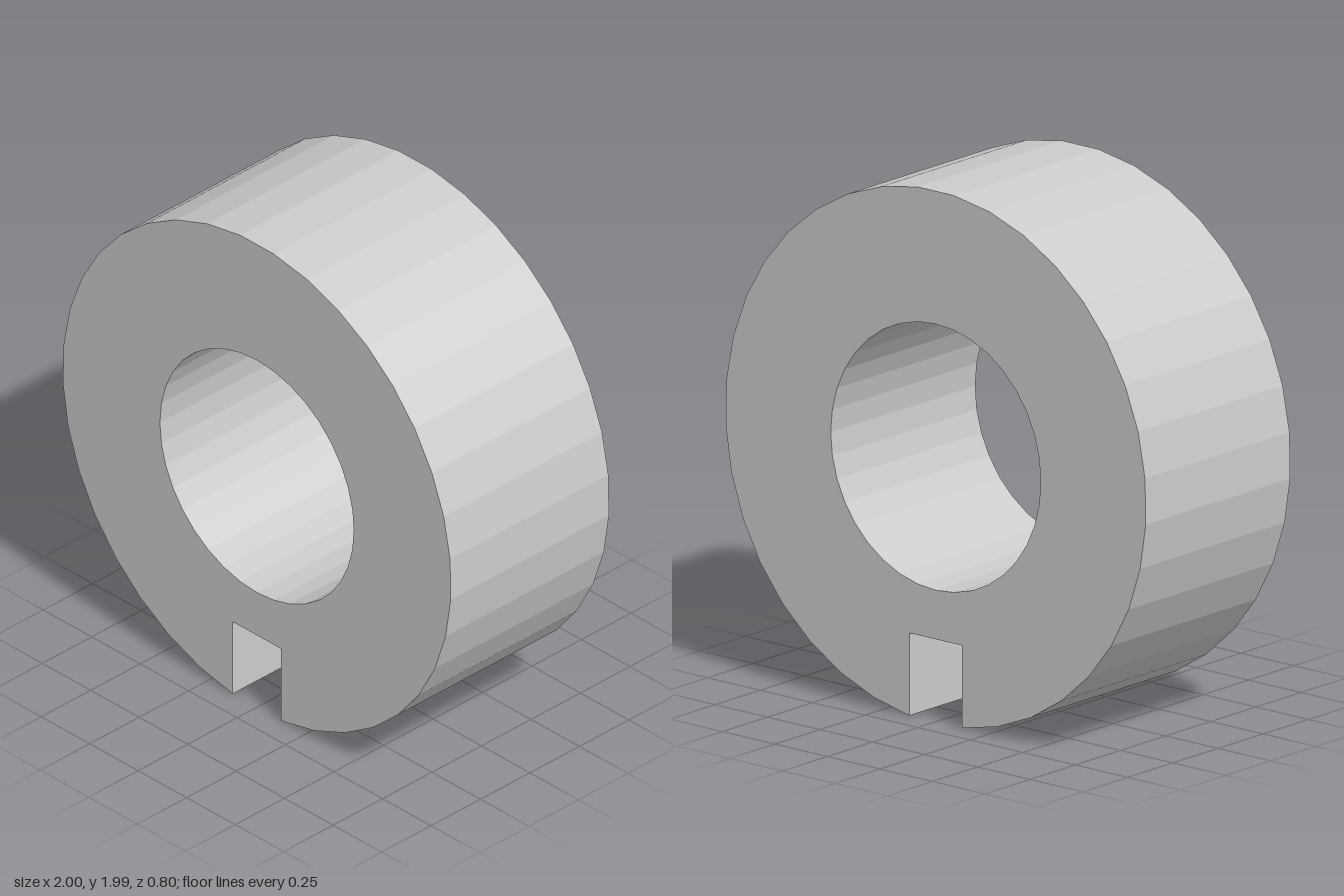
import * as THREE from 'three';

const R = 1.002, BORE = 0.5, DEPTH = 0.8;
const SLOT_HALF = 0.125, SLOT_TOP = 0.31;
const OUTER_SIDES = 35, BORE_SIDES = 36;

// evenly spaced points on an arc about the origin
function arcPoints(radius, start, sweep, sides) {
  return Array.from({ length: sides + 1 }, (_, i) => {
    const a = start + (sweep * i) / sides;
    return new THREE.Vector2(radius * Math.cos(a), radius * Math.sin(a));
  });
}

export function createModel() {
  const group = new THREE.Group();
  group.name = 'slottedCollar';

  // the rim runs from one slot corner round to the other
  const half = Math.asin(SLOT_HALF / R);
  const centreY = R * Math.cos(half);
  const rim = arcPoints(R, -Math.PI / 2 + half, Math.PI * 2 - 2 * half, OUTER_SIDES);

  // rectangular keyway cut into the bottom
  const slotY = SLOT_TOP - centreY;
  const profile = new THREE.Shape([
    ...rim,
    new THREE.Vector2(-SLOT_HALF, slotY),
    new THREE.Vector2(SLOT_HALF, slotY),
  ]);

  // round bore through the middle
  const bore = arcPoints(BORE, 0, Math.PI * 2, BORE_SIDES).slice(0, -1);
  profile.holes.push(new THREE.Path(bore.reverse()));

  const geometry = new THREE.ExtrudeGeometry(profile, { depth: DEPTH, bevelEnabled: false });
  geometry.translate(0, centreY, -DEPTH / 2);

  const ring = new THREE.Mesh(
    geometry,
    new THREE.MeshStandardMaterial({ color: 0xcccccc, flatShading: true })
  );
  ring.name = 'ring';
  group.add(ring);
  return group;
}
